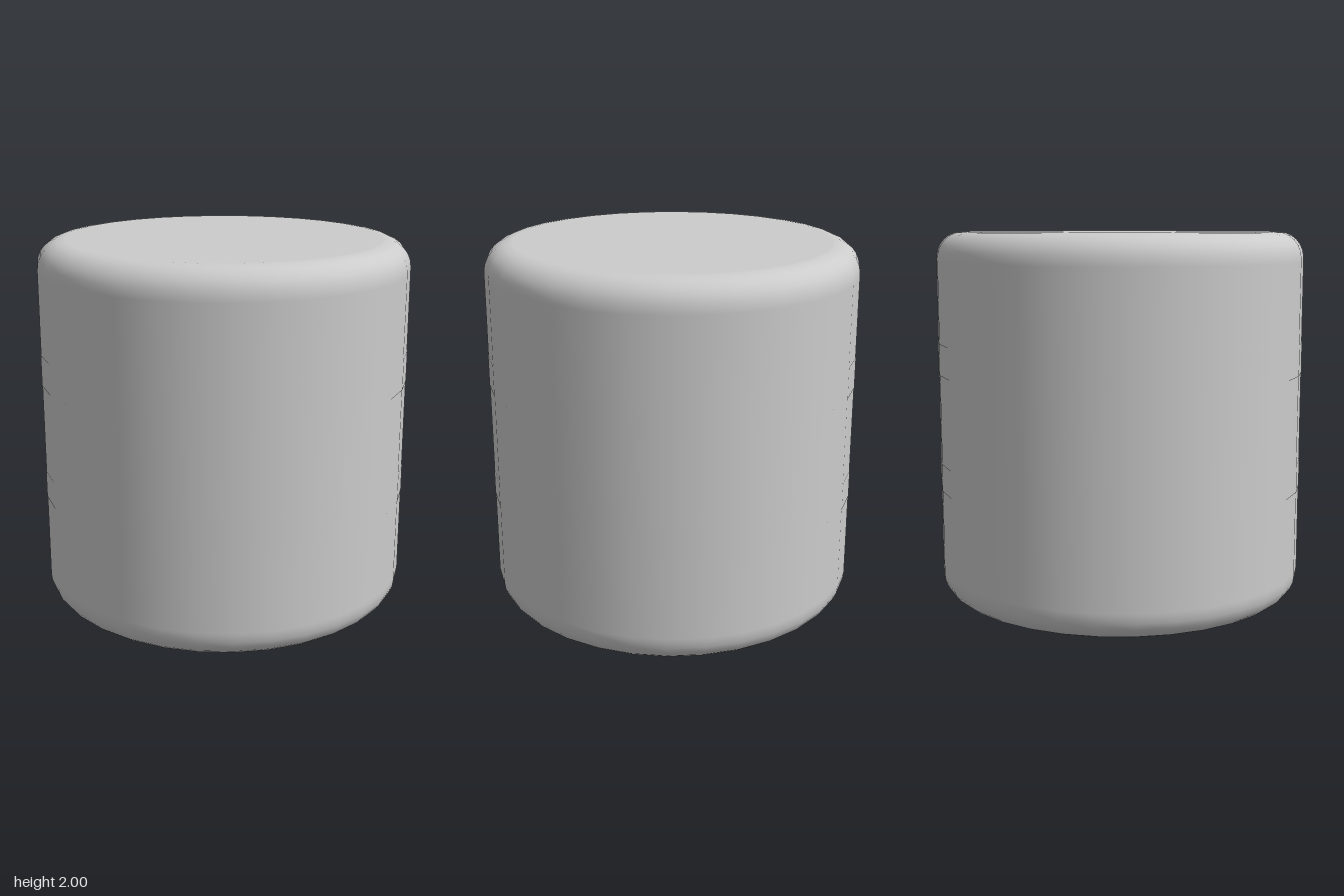
import * as THREE from 'three';

const SIDES = 32, RADIUS = 0.998, FILLET = 0.14, HEIGHT = 2;

// Revolve [radius, height] pairs, listed from bottom to top
function lathe(name, pairs, material) {
  const points = pairs.map(([r, y]) => new THREE.Vector2(r, y));
  const mesh = new THREE.Mesh(new THREE.LatheGeometry(points, SIDES), material);
  mesh.name = name;
  return mesh;
}

// Quarter-round edge between the wall and a flat end
function fillet(centreY, from) {
  return Array.from({ length: 7 }, (_, i) => {
    const a = from + (i / 6) * Math.PI / 2;
    return [RADIUS - FILLET + FILLET * Math.cos(a), centreY + FILLET * Math.sin(a)];
  });
}

export function createModel() {
  const group = new THREE.Group();
  group.name = 'roundedCylinder';
  const material = new THREE.MeshStandardMaterial({ color: 0xcccccc });

  // Body: flat ends, rounded rims, straight wall; extra rings keep the flats crisp
  const inner = RADIUS - FILLET - 0.01;
  group.add(lathe('body', [
    [0, 0], [inner, 0],
    ...fillet(FILLET, -Math.PI / 2),
    [RADIUS, FILLET + 0.02], [RADIUS, HEIGHT - FILLET - 0.02],
    ...fillet(HEIGHT - FILLET, 0),
    [inner, HEIGHT], [0, HEIGHT],
  ], material));

  // Two nearly flush bands around the wall
  for (const [name, low, high] of [['lowerBand', 0.61, 0.76], ['upperBand', 1.24, 1.41]]) {
    const band = new THREE.Mesh(
      new THREE.CylinderGeometry(1, 1, high - low, SIDES, 1, true), material);
    band.position.y = (low + high) / 2;
    band.name = name;
    group.add(band);
  }
  return group;
}
